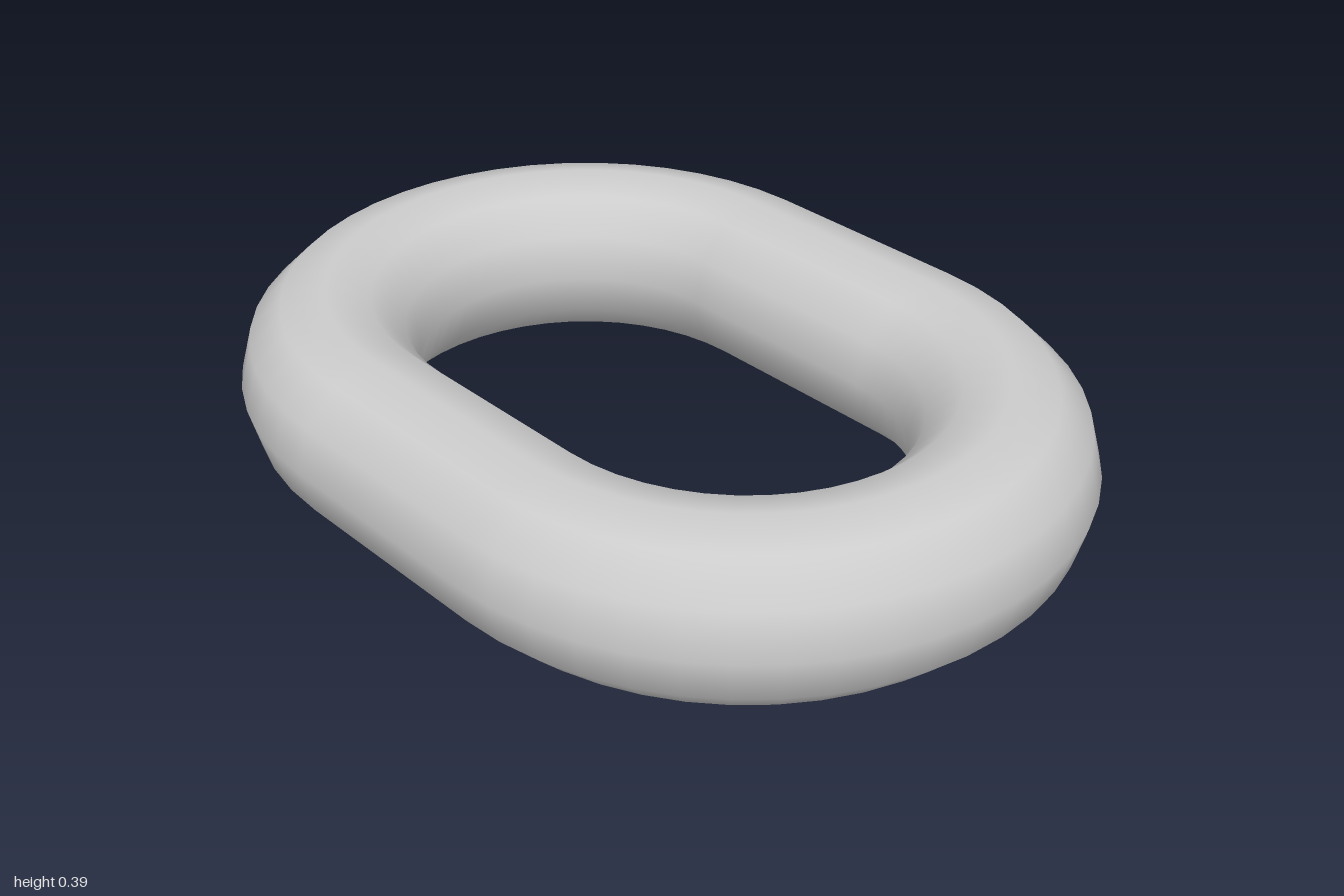
import * as THREE from 'three';

const BEND = 0.55;      // radius of the rounded ends, to the tube centre
const TUBE = 0.195;     // tube radius
const HALF = 0.255;     // half length of the straight sides
const SIDES = 12;       // sides of the tube
const STEPS = 24;       // steps around each rounded end

// Closed stadium-shaped tube lying flat, swept ring by ring
function stadiumTube() {
  const position = [], normal = [], index = [];
  const rings = 2 * (STEPS + 1), row = SIDES + 1;
  for (const end of [1, -1]) {
    for (let i = 0; i <= STEPS; i++) {
      const t = (i / STEPS - 0.5) * Math.PI + (end < 0 ? Math.PI : 0);
      for (let j = 0; j <= SIDES; j++) {
        const p = (j / SIDES) * Math.PI * 2;
        const reach = BEND + TUBE * Math.cos(p);
        position.push(end * HALF + Math.cos(t) * reach, TUBE + TUBE * Math.sin(p), Math.sin(t) * reach);
        normal.push(Math.cos(t) * Math.cos(p), Math.sin(p), Math.sin(t) * Math.cos(p));
      }
    }
  }
  // The gaps between the two ends become the straight sides
  for (let i = 0; i < rings; i++) {
    for (let j = 0; j < SIDES; j++) {
      const a = i * row + j, b = ((i + 1) % rings) * row + j;
      index.push(a, a + 1, b, a + 1, b + 1, b);
    }
  }
  const geometry = new THREE.BufferGeometry();
  geometry.setAttribute('position', new THREE.Float32BufferAttribute(position, 3));
  geometry.setAttribute('normal', new THREE.Float32BufferAttribute(normal, 3));
  geometry.setIndex(index);
  return geometry;
}

export function createModel() {
  const group = new THREE.Group();
  group.name = 'chainLink';
  const link = new THREE.Mesh(stadiumTube(), new THREE.MeshStandardMaterial({ color: 0xcccccc }));
  link.name = 'linkRing';
  group.add(link);
  return group;
}
